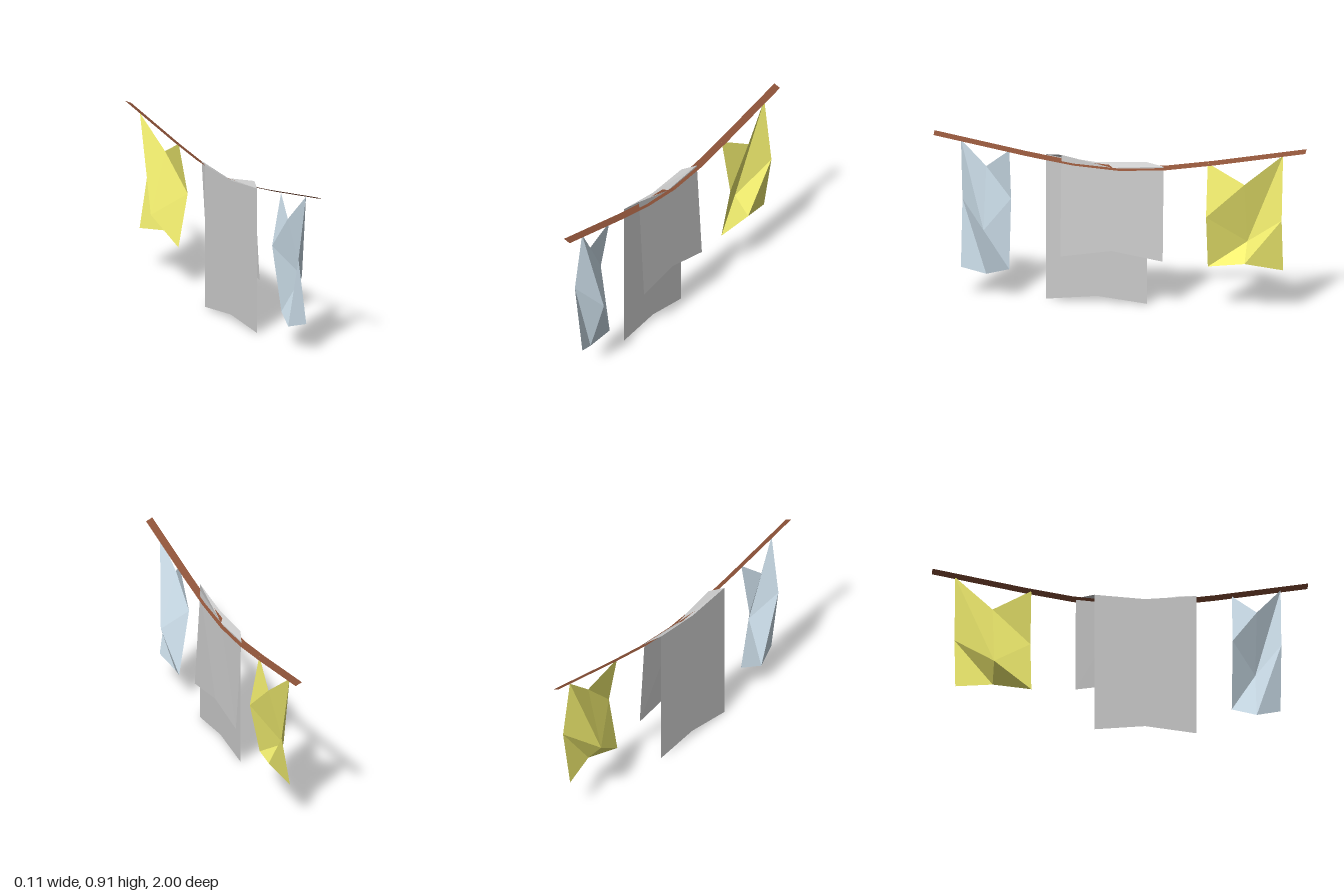
import * as THREE from 'three';

// Flat-shaded sheet from rows of [x, y, z] points; every quad is split along the same diagonal
function sheet(name, rows, color) {
  const cols = rows[0].length;
  const index = [];
  for (let r = 0; r < rows.length - 1; r++) {
    for (let c = 0; c < cols - 1; c++) {
      const a = r * cols + c, b = a + 1, d = a + cols, e = d + 1;
      index.push(a, d, e, a, e, b);
    }
  }
  const indexed = new THREE.BufferGeometry();
  indexed.setAttribute('position', new THREE.Float32BufferAttribute(rows.flat(2), 3));
  indexed.setIndex(index);
  const geometry = indexed.toNonIndexed();
  geometry.computeVertexNormals();
  const mesh = new THREE.Mesh(geometry, new THREE.MeshStandardMaterial({
    color, flatShading: true, side: THREE.DoubleSide,
  }));
  mesh.name = name;
  return mesh;
}

// Crumpled cloth: three rows of three points, outer edge first; side flips it about the line's middle
function crumpledCloth(name, zs, ys, side, color) {
  const xs = [[0, -0.035, 0], [-0.046, 0.052, -0.055], [0.002, -0.033, 0.002]];
  const rows = ys.map((row, r) => row.map((y, c) => [side * xs[r][c], y, side * zs[c]]));
  return sheet(name, rows, color);
}

export function createModel() {
  const group = new THREE.Group();
  group.name = 'clothesline';

  // Sagging line: a flat ribbon tilted towards +x
  const sag = [[1, 0.902], [0.5, 0.811], [0.25, 0.772], [0, 0.755], [-0.25, 0.772], [-0.5, 0.811], [-1, 0.902]];
  const edge = (s) => sag.map(([z, y]) => [s * 0.018, y - s * 0.008, z]);
  group.add(sheet('line', [edge(-1), edge(1)], 0x8c5238));

  // Blanket folded over the line: long rear drop, top strip, shorter front drop
  const row = (x, zs, ys) => zs.map((z, i) => [x, ys[i], z]);
  const rearZ = [0.405, 0.13, -0.14];
  const frontZ = [0.315, 0.04, -0.235];
  group.add(sheet('blanket', [
    row(-0.035, rearZ, [0, 0.03, 0]),
    row(-0.035, rearZ, [0.803, 0.773, 0.787]),
    row(0.001, frontZ, [0.815, 0.757, 0.778]),
    row(0.033, frontZ, [0.26, 0.305, 0.26]),
  ], 0xcccccc));

  // Two crumpled cloths hanging at the ends
  group.add(crumpledCloth('blueCloth', [0.855, 0.725, 0.595], [
    [0.872, 0.72, 0.825], [0.53, 0.39, 0.54], [0.165, 0.122, 0.165],
  ], 1, 0xd0e2ee));
  group.add(crumpledCloth('yellowCloth', [0.877, 0.675, 0.472], [
    [0.873, 0.71, 0.81], [0.525, 0.37, 0.525], [0.235, 0.27, 0.235],
  ], -1, 0xf4f070));

  return group;
}
